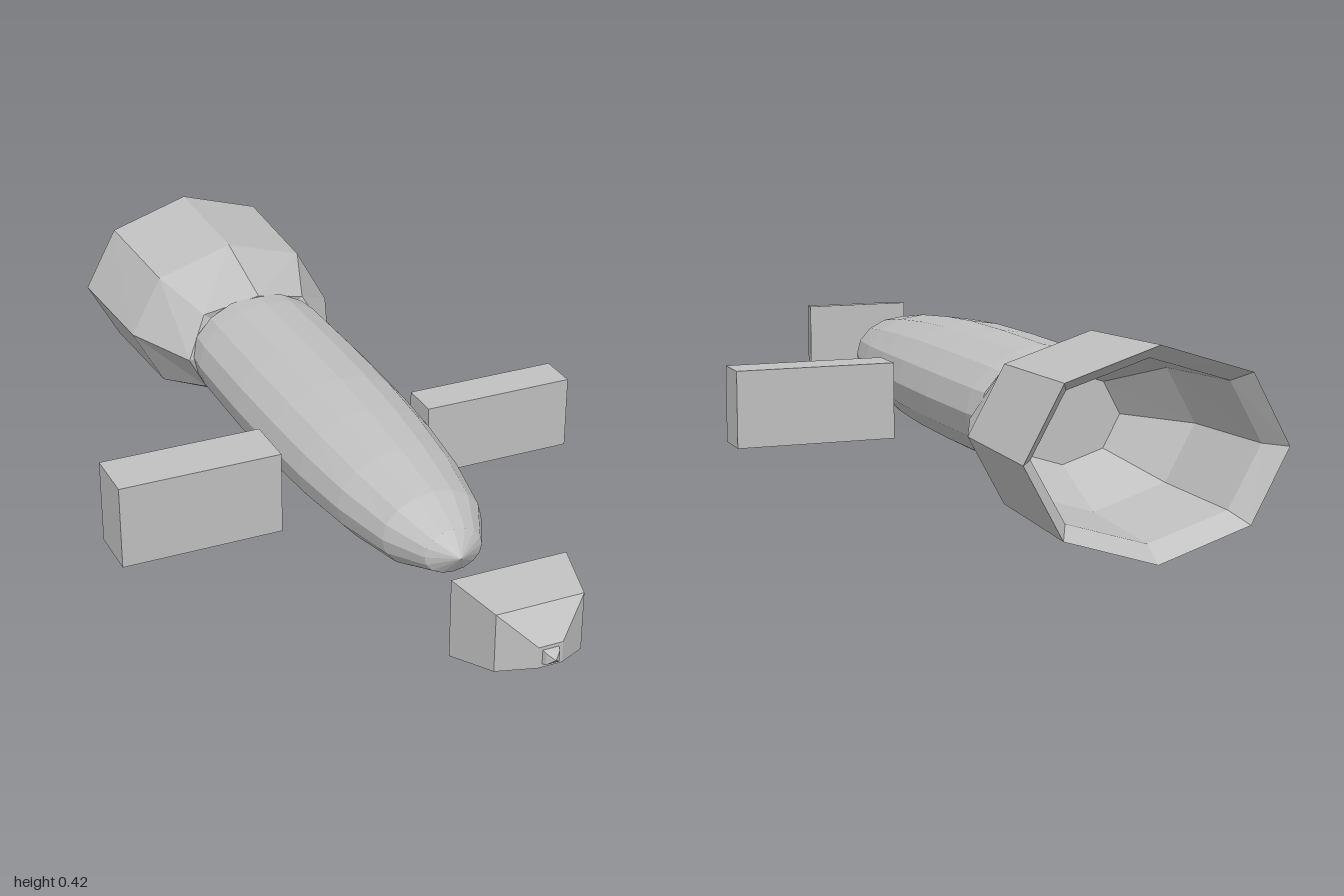
import * as THREE from 'three';

const grey = new THREE.MeshStandardMaterial({ color: 0xc0c0c0 });
grey.name = 'grey';

// Skin a list of equal-length rings (counter-clockwise seen from +z), with flat facets
function loft(name, rings) {
  const pos = [];
  const tri = (a, b, c) => {
    const area = b.clone().sub(a).cross(c.clone().sub(a)).length();
    if (area > 1e-8) [a, b, c].forEach((p) => pos.push(p.x, p.y, p.z));
  };
  for (let r = 0; r + 1 < rings.length; r++) {
    const a = rings[r], b = rings[r + 1];
    for (let i = 0; i < a.length; i++) {
      const j = (i + 1) % a.length;
      tri(a[i], a[j], b[j]);
      tri(a[i], b[j], b[i]);
    }
  }
  const g = new THREE.BufferGeometry();
  g.setAttribute('position', new THREE.Float32BufferAttribute(pos, 3));
  g.computeVertexNormals();
  const mesh = new THREE.Mesh(g, grey);
  mesh.name = name;
  return mesh;
}

// Elliptical ring; diag moves the points between the axes back by that much
function oval(n, cx, cy, z, rx, ry, diag = 0) {
  return Array.from({ length: n }, (_, i) => {
    const t = (i / n) * Math.PI * 2;
    return new THREE.Vector3(cx + rx * Math.cos(t), cy + ry * Math.sin(t), z - (i % 2 ? diag : 0));
  });
}

// Rectangular ring
function rect(cx, cy, z, hx, hy) {
  return [[1, -1], [1, 1], [-1, 1], [-1, -1]].map(([sx, sy]) => new THREE.Vector3(cx + sx * hx, cy + sy * hy, z));
}

// Box given by its limits
function block(name, x0, x1, y0, y1, z0, z1) {
  const mesh = new THREE.Mesh(new THREE.BoxGeometry(x1 - x0, y1 - y0, z1 - z0), grey);
  mesh.position.set((x0 + x1) / 2, (y0 + y1) / 2, (z0 + z1) / 2);
  mesh.name = name;
  return mesh;
}

export function createModel() {
  const model = new THREE.Group();
  model.name = 'model';

  // Long body narrowing to the front: z, half width, half height
  const bodyProfile = [
    [-0.5, 0, 0], [-0.5, 0.172, 0.132], [-0.44, 0.178, 0.136], [-0.2, 0.18, 0.138], [0, 0.176, 0.136],
    [0.15, 0.168, 0.128], [0.32, 0.15, 0.113], [0.48, 0.118, 0.09], [0.58, 0.068, 0.052], [0.617, 0, 0],
  ];
  model.add(loft('body', bodyProfile.map(([z, rx, ry]) => oval(16, 0.004, 0.22, z, rx, ry))));

  // Eight-sided flared tail: hollow inside first, then rim, then outside
  const tailProfile = [
    [-0.54, 0, 0], [-0.54, 0.13, 0.1], [-0.7, 0.225, 0.168], [-0.95, 0.243, 0.18], [-1, 0.278, 0.211],
    [-0.68, 0.265, 0.2], [-0.485, 0.186, 0.14, 0.035], [-0.51, 0, 0],
  ];
  model.add(loft('tail', tailProfile.map(([z, rx, ry, d]) => oval(8, 0.004, 0.216, z, rx, ry, d))));

  // Separate block head with a stepped point: centre y, z, half width, half height
  const headProfile = [
    [0.215, 0.8, 0, 0], [0.215, 0.8, 0.13, 0.09], [0.226, 0.93, 0.098, 0.066], [0.202, 0.978, 0.027, 0.024],
    [0.202, 0.978, 0.018, 0.016], [0.202, 0.988, 0.015, 0.013], [0.202, 1, 0, 0],
  ];
  model.add(loft('head', headProfile.map(([cy, z, hx, hy]) => rect(0.015, cy, z, hx, hy))));

  // Uneven side blocks
  model.add(block('rightWing', -0.565, -0.18, 0.045, 0.245, -0.04, 0.092));
  model.add(block('leftWing', 0.195, 0.562, 0.096, 0.27, -0.018, 0.076));
  return model;
}
